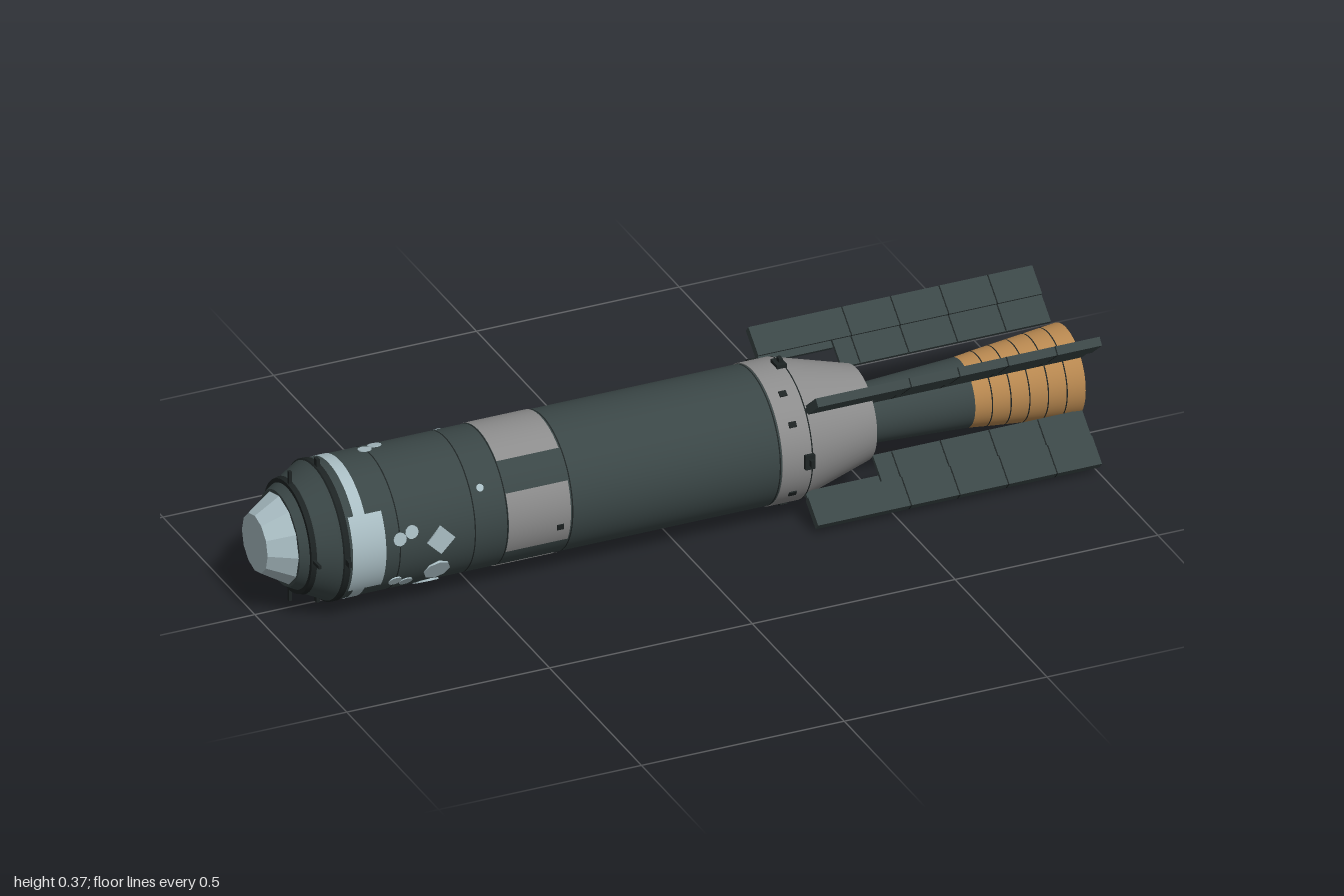
import * as THREE from 'three';
import { mergeGeometries } from 'three/addons/utils/BufferGeometryUtils.js';

const mat = (name, color, side = THREE.FrontSide) => {
  const m = new THREE.MeshStandardMaterial({ color, side });
  m.name = name;
  return m;
};
const rad = THREE.MathUtils.degToRad;

export function createModel() {
  const dark = mat('dark green grey', 0x3a4646);
  const black = mat('near black', 0x1d2323);
  const grey = mat('mid grey', 0x8c8c8c, THREE.DoubleSide);
  const pale = mat('pale blue grey', 0xa9bdc3, THREE.DoubleSide);
  const copper = mat('copper', 0xb88850);

  const model = new THREE.Group();
  const axis = new THREE.Group();
  axis.name = 'rocketStage';
  axis.position.y = 0.184;
  model.add(axis);

  const add = (name, geo, material, parent = axis) => {
    const mesh = new THREE.Mesh(geo, material);
    mesh.name = name;
    parent.add(mesh);
    return mesh;
  };

  // Turned part along x: profile of [radius, x], crisp at each profile corner.
  // Angles are measured from the front (+z) towards the top (+y).
  function turned(name, profile, material, { sides = 64, mid = 0, half = 180, flat = false } = {}) {
    const parts = [];
    for (let i = 0; i < profile.length - 1; i++) {
      const pts = [profile[i], profile[i + 1]].map(([r, x]) => new THREE.Vector2(r, x));
      parts.push(new THREE.LatheGeometry(pts, sides, -rad(mid + half), rad(half * 2)));
    }
    let geo = mergeGeometries(parts);
    geo.rotateZ(-Math.PI / 2);
    if (flat) {
      geo = geo.toNonIndexed();
      geo.computeVertexNormals();
    }
    return add(name, geo, material);
  }

  // Fitting on the hull: local y points outwards at the given angle.
  function mount(name, geo, material, angle, x, r) {
    const arm = new THREE.Group();
    arm.name = name + 'Mount';
    arm.rotation.x = rad(90 - angle);
    axis.add(arm);
    add(name, geo, material, arm).position.set(x, r, 0);
  }
  const box = (x, radial, across) => new THREE.BoxGeometry(x, radial, across);
  const poles = [0, 90, 180, 270];

  // Nose
  turned('noseCap', [[0, -1], [0.07, -1], [0.107, -0.94]], pale, { sides: 12, flat: true });
  turned('noseCollar', [[0.1, -0.94], [0.112, -0.94], [0.126, -0.915], [0.134, -0.905], [0.158, -0.86], [0.164, -0.85],
    [0.164, -0.835]], dark);
  turned('collarRing', [[0.118, -0.92], [0.133, -0.92], [0.136, -0.908], [0.125, -0.908]], black);
  turned('shoulderRing', [[0.15, -0.862], [0.165, -0.852], [0.165, -0.838], [0.16, -0.838]], black);

  // Main tank and seams
  turned('tank', [[0.163, -0.84], [0.163, 0.227], [0, 0.227]], dark);
  for (const x of [-0.715, -0.53, -0.45, -0.29, 0.222]) {
    turned('seam', [[0.1634, x - 0.0015], [0.1634, x + 0.0015]], black);
  }

  // Pale band with wide side plates
  turned('paleBand', [[0.1642, -0.818], [0.1642, -0.79]], pale);
  for (const mid of [0, 180]) {
    turned('paleSidePlate', [[0.1646, -0.832], [0.1646, -0.75]], pale, { sides: 16, mid, half: 35 });
  }

  // Grey access panels
  for (const mid of poles) {
    turned('greyPanel', [[0.1645, -0.448], [0.1645, -0.295]], grey, { sides: 16, mid, half: mid % 180 ? 36 : 27 });
  }

  // Round and diamond covers
  const cover = (r, sides) => new THREE.CylinderGeometry(r, r, 0.008, sides);
  for (const side of [1, -1]) {
    const turn = (a) => (side > 0 ? a : 180 - a);
    mount('diamondCover', cover(0.035, 4), pale, turn(1), -0.615, 0.1615);
    mount('octagonCover', cover(0.032, 8), pale, turn(-31), -0.615, 0.1615);
    mount('octagonCover', cover(0.032, 8), pale, turn(-61), -0.615, 0.1615);
    for (const a of [9, -35]) {
      mount('smallCover', cover(0.016, 12), pale, turn(a), -0.715, 0.161);
      mount('smallCover', cover(0.016, 12), pale, turn(a + (a > 0 ? 4 : -5)), -0.685, 0.161);
    }
    mount('tinyCover', cover(0.009, 10), pale, turn(36), -0.505, 0.1605);
    mount('vent', box(0.016, 0.008, 0.014), black, turn(-11), -0.32, 0.163);
  }
  mount('smallCover', cover(0.016, 12), pale, 101, -0.715, 0.161);
  mount('smallCover', cover(0.016, 12), pale, 106, -0.685, 0.161);
  mount('tinyCover', cover(0.009, 10), pale, 129, -0.505, 0.1605);

  // Tapered rear skirt
  turned('skirt', [[0.16, 0.227], [0.165, 0.227], [0.165, 0.3], [0.112, 0.484]], grey);
  turned('skirtBase', [[0.112, 0.484], [0, 0.484]], dark);
  turned('skirtSeam', [[0.1655, 0.299], [0.1655, 0.302]], black);

  // Pole fittings on nose, shoulder and skirt
  for (const a of poles) {
    mount('nosePin', box(0.007, 0.045, 0.008), black, a, -0.914, 0.143);
    mount('shoulderPin', box(0.008, 0.02, 0.014), black, a, -0.847, 0.173);
    mount('skirtBlock', box(0.024, 0.014, 0.036), black, a, 0.292, 0.166);
    mount('skirtPin', box(0.009, 0.024, 0.016), black, a, 0.294, 0.171);
    for (const d of [-32, 32]) mount('skirtVent', box(0.018, 0.008, 0.014), black, a + d, 0.262, 0.164);
  }
  mount('bellyBox', box(0.09, 0.014, 0.056), dark, 270, -0.385, 0.165);

  // Nozzle, set slightly below the hull axis
  const drop = (mesh) => { mesh.position.y = -0.008; };
  drop(turned('nozzleThroat', [[0.068, 0.48], [0.081, 0.74]], dark));
  drop(turned('nozzleBell', [[0.081, 0.74], [0.088, 0.8], [0.108, 1], [0.1, 1], [0.081, 0.8], [0.074, 0.745]], copper));
  drop(turned('nozzlePlug', [[0.076, 0.752], [0, 0.752]], dark));
  for (let i = 0; i < 5; i++) {
    const x = 0.78 + i * 0.044;
    const r = 0.088 + (x - 0.8) * 0.1;
    const ri = 0.081 + (x - 0.8) * 0.095;
    drop(turned('bellOuterLine', [[r + 0.0008, x - 0.0015], [r + 0.0008, x + 0.0015]], black));
    drop(turned('bellInnerLine', [[ri - 0.001, x + 0.0015], [ri - 0.001, x - 0.0015]], black));
  }

  // Four fins: thick outer beam, thin inner web and panel joints
  for (const a of [40, 140, 220, 320]) {
    mount('finBeam', box(0.7, 0.071, 0.021), dark, a, 0.65, 0.2125);
    mount('finRoot', box(0.18, 0.02, 0.01), dark, a, 0.39, 0.17);
    mount('finWeb', box(0.516, 0.07, 0.01), dark, a, 0.742, 0.145);
    for (let i = 0; i < 4; i++) {
      const x = 0.53 + i * 0.12;
      mount('webJoint', box(0.003, 0.068, 0.011), black, a, x, 0.145);
      mount('beamJoint', box(0.003, 0.0715, 0.0216), black, a, x, 0.2125);
    }
  }

  return model;
}
